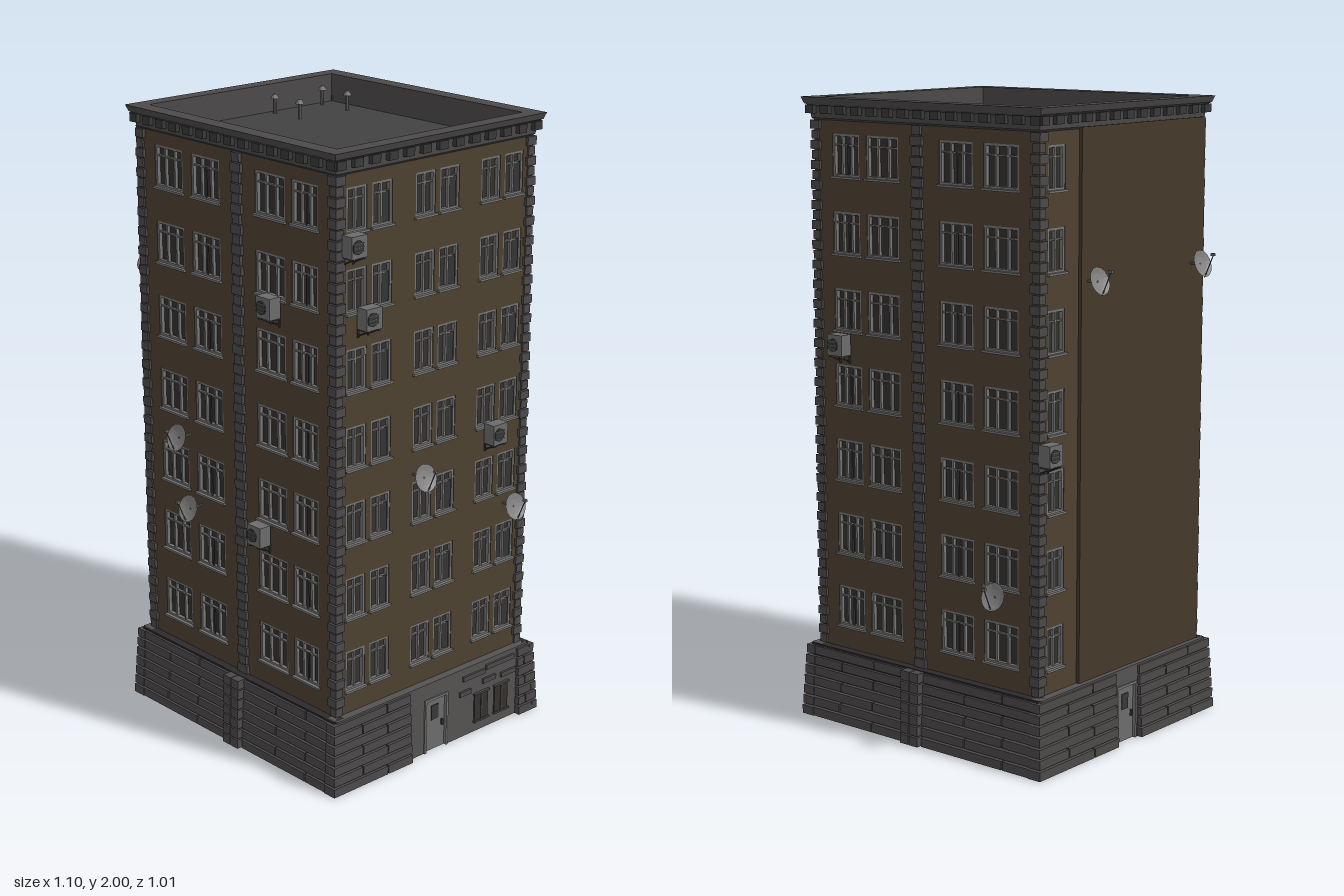
import * as THREE from 'three';
import { mergeGeometries } from 'three/addons/utils/BufferGeometryUtils.js';

const mat = (color, side = THREE.FrontSide) =>
  new THREE.MeshStandardMaterial({ color, side, flatShading: true });
const M = {
  wall: mat(0x4d4130), inner: mat(0x4d4130, THREE.DoubleSide), blank: mat(0x44392a),
  stone: mat(0x4c4949), joint: mat(0x2c2a2a), plaster: mat(0x555252), roof: mat(0x424242),
  frame: mat(0x757575), glass: mat(0x34312d), metal: mat(0x6c6c6c), dark: mat(0x383838),
  dish: mat(0x828282, THREE.DoubleSide),
};
const BASE = 0.24, TOP = 1.935, FLOORS = 7;
const floorY = (i) => 0.38 + i * 0.2405;

const box = (w, h, d, x, y, z) => new THREE.BoxGeometry(w, h, d).translate(x, y, z);
const span = (x0, x1, y0, y1, z0, z1) =>
  box(x1 - x0, y1 - y0, z1 - z0, (x0 + x1) / 2, (y0 + y1) / 2, (z0 + z1) / 2);
function rod(a, b, r) {
  const p = new THREE.Vector3(...a), q = new THREE.Vector3(...b), dir = q.clone().sub(p);
  const g = new THREE.CylinderGeometry(r, r, dir.length(), 6);
  g.applyQuaternion(new THREE.Quaternion().setFromUnitVectors(new THREE.Vector3(0, 1, 0), dir.normalize()));
  return g.translate(...p.add(q).multiplyScalar(0.5).toArray());
}
function add(parent, name, geos, material) {
  if (!geos.length) return;
  const mesh = new THREE.Mesh(mergeGeometries(geos.map((g) => (g.index ? g.toNonIndexed() : g))), material);
  mesh.name = name;
  parent.add(mesh);
}
// Rectangular rings [halfX, halfZ, y] joined into a four-sided band
function ringLoft(rings) {
  const c = [[1, 1], [1, -1], [-1, -1], [-1, 1]], pos = [];
  for (let i = 0; i + 1 < rings.length; i++) {
    for (let k = 0; k < 4; k++) {
      const at = (r, n) => [c[n % 4][0] * r[0], r[2], c[n % 4][1] * r[1]];
      const a = at(rings[i], k), b = at(rings[i], k + 1), d = at(rings[i + 1], k + 1), e = at(rings[i + 1], k);
      pos.push(...a, ...b, ...d, ...a, ...d, ...e);
    }
  }
  const g = new THREE.BufferGeometry();
  g.setAttribute('position', new THREE.Float32BufferAttribute(pos, 3));
  g.computeVertexNormals();
  return g;
}

// Each facade is laid out as if facing +z, then turned. Columns are [from, to].
const wide = [[-0.373, -0.24], [-0.198, -0.066], [0.098, 0.23], [0.26, 0.372]];
const narrow = [[-0.365, -0.286], [-0.265, -0.185], [-0.09, -0.01], [0.01, 0.09], [0.185, 0.265], [0.286, 0.365]];
const FACES = [
  { name: 'frontFacade', turn: 0, d: 0.405, hw: 0.45, cols: wide, pier: 0.019,
    courses: [[-0.497, -0.018], [0.056, 0.497]],
    coolers: [[0.185, 1.49], [0.13, 0.75]], dishes: [[-0.23, 0.98], [-0.18, 0.755]] },
  { name: 'rightFacade', turn: Math.PI / 2, d: 0.45, hw: 0.405, cols: narrow, door: true, yard: true,
    courses: [[-0.456, -0.12], [0.37, 0.456]],
    coolers: [[-0.36, 1.72], [-0.3, 1.495], [0.245, 1.01]], dishes: [[-0.088, 0.955], [0.315, 0.755]] },
  { name: 'backFacade', turn: Math.PI, d: 0.405, hw: 0.45, cols: wide.map(([a, b]) => [-b, -a]), pier: -0.019,
    courses: [[-0.497, -0.056], [0.018, 0.497]], coolers: [[-0.33, 1.23]], dishes: [[0.32, 0.54]] },
  { name: 'leftFacade', turn: -Math.PI / 2, d: 0.45, hw: 0.405, cols: narrow.slice(0, 1), door: true, blankFrom: -0.22,
    courses: [[-0.456, -0.06], [0.06, 0.456]], coolers: [[-0.385, 0.98]], dishes: [[-0.19, 1.48], [0.34, 1.48]] },
];

function addWindows(g, f) {
  const frames = [], glass = [], sills = [], sashes = [], h = 0.133, t = 0.008;
  for (let i = 0; i < FLOORS; i++) f.cols.forEach(([a, b], n) => {
    const y = floorY(i), w = b - a, x = (a + b) / 2, z = f.d - 0.009;
    for (const s of [-1, 1]) {
      frames.push(box(t, h, 0.014, x + s * (w - t) / 2, y, z), box(w, t, 0.014, x, y + s * (h - t) / 2, z));
    }
    const bars = w > 0.1 ? [-w * 0.17, w * 0.17] : [0];
    for (const m of bars) frames.push(box(0.007, h, 0.01, x + m, y, z));
    frames.push(box(w, 0.005, 0.008, x, y + h * 0.24, z));
    glass.push(box(w, h, 0.004, x, y, f.d - 0.016));
    sills.push(box(w + 0.01, 0.007, 0.018, x, y - h / 2 - 0.002, f.d));
    // Every second window has a small sash ajar
    if (n % 2) sashes.push(new THREE.BoxGeometry(0.026, h * 0.7, 0.004).rotateY(-0.5)
      .translate(x + bars[0] + 0.016, y - h * 0.1, f.d - 0.008));
  });
  add(g, 'windowFrames', frames, M.frame);
  add(g, 'windowGlass', glass, M.glass);
  add(g, 'windowSills', sills, M.frame);
  add(g, 'openSashes', sashes, M.dark);
}

function addBase(g, f) {
  const hw = f.hw + 0.02, d = f.d, n = 7, step = BASE / n, blocks = [];
  for (let i = 0; i < n; i++) {
    const out = d + 0.048 - i * 0.002, cut = i * 0.002;
    for (const [a, b] of f.courses) {
      const lo = a < -0.4 ? a + cut : a, hi = b > 0.4 ? b - cut : b;
      // Staggered vertical joints split each course
      const joints = [lo, lo + (hi - lo) * (i % 2 ? 0.36 : 0.68), hi];
      for (let k = 0; k < 2; k++) blocks.push(span(joints[k] + (k ? 0.004 : 0), joints[k + 1],
        i * step, (i + 1) * step - 0.006, d, out));
    }
    if (f.pier !== undefined) for (const s of [-1, 1]) blocks.push(
      box(0.034, step - 0.004, 0.05, f.pier + s * 0.0185, (i + 0.5) * step, d + 0.04 - i * 0.001));
  }
  const backing = [span(-hw, hw, f.door ? 0.18 : 0, BASE, d - 0.015, d + 0.028)];
  if (f.door) for (const s of [-1, 1]) backing.push(span(s < 0 ? -hw : 0.048, s < 0 ? -0.048 : hw, 0, 0.18, d - 0.015, d + 0.028));
  add(g, 'baseWall', backing, f.door ? M.plaster : M.joint);
  add(g, 'baseLiner', [span(-hw, hw, 0, BASE - 0.01, d - 0.02, d - 0.012)], M.plaster);
  if (f.yard) {
    for (const [u, y, w] of [[0.17, 0.205, 0.1], [0.29, 0.215, 0.13], [0.33, 0.165, 0.07], [0.13, 0.155, 0.05], [0.24, 0.17, 0.06]])
      blocks.push(box(w, 0.016, 0.012, u, y, d + 0.029));
    for (const u of [0.205, 0.298]) {
      add(g, 'cellarWindow', [box(0.062, 0.092, 0.01, u, 0.085, d + 0.027)], M.glass);
      add(g, 'cellarWindowFrame', [box(0.07, 0.006, 0.018, u, 0.134, d + 0.028), box(0.07, 0.006, 0.018, u, 0.037, d + 0.028),
        box(0.005, 0.09, 0.014, u, 0.085, d + 0.028)], M.stone);
    }
  }
  add(g, 'baseBlocks', blocks, M.stone);
  if (f.door) {
    add(g, 'door', [box(0.09, 0.178, 0.02, 0, 0.089, d + 0.012)], M.metal);
    add(g, 'doorFrame', [box(0.008, 0.184, 0.03, -0.048, 0.092, d + 0.018), box(0.008, 0.184, 0.03, 0.048, 0.092, d + 0.018),
      box(0.104, 0.008, 0.03, 0, 0.183, d + 0.018)], M.frame);
    add(g, 'doorPanel', [box(0.032, 0.05, 0.004, 0, 0.13, d + 0.023), box(0.006, 0.02, 0.008, 0.032, 0.085, d + 0.025)], M.dark);
  }
}

function airConditioner(u, y, d) {
  const g = new THREE.Group();
  g.name = 'airConditioner';
  add(g, 'casing', [box(0.062, 0.066, 0.042, 0, 0.006, 0.029)], M.metal);
  add(g, 'fan', [new THREE.CylinderGeometry(0.021, 0.021, 0.004, 12).rotateX(Math.PI / 2).translate(-0.007, 0.006, 0.051)], M.dark);
  add(g, 'grille', [-0.012, 0, 0.012].map((k) => box(0.042, 0.002, 0.002, -0.007, 0.006 + k, 0.054)), M.metal);
  add(g, 'brackets', [-0.02, 0.02].flatMap((x) => [box(0.005, 0.006, 0.05, x, -0.03, 0.025),
    rod([x, -0.052, 0], [x, -0.03, 0.045], 0.0025), box(0.005, 0.03, 0.004, x, -0.042, 0.002)]), M.dark);
  g.position.set(u, y, d);
  return g;
}

function satelliteDish(u, y, d) {
  const g = new THREE.Group(), tilt = 0.35;
  g.name = 'satelliteDish';
  const bowl = new THREE.LatheGeometry([[0, 0], [0.024, 0.003], [0.044, 0.01]].map((p) => new THREE.Vector2(...p)), 14);
  add(g, 'bowl', [bowl.rotateX(Math.PI / 2 - tilt).translate(0, 0, 0.048)], M.dish);
  add(g, 'arm', [rod([0, 0, 0], [0, 0, 0.05], 0.004), rod([0, -0.04, 0.065], [0, 0.035, 0.098], 0.002),
    box(0.01, 0.008, 0.012, 0, 0.034, 0.096)], M.metal);
  g.position.set(u, y, d);
  return g;
}

function facade(f) {
  const g = new THREE.Group();
  g.name = f.name;
  // Wall pierced by the window openings
  const shape = new THREE.Shape([[-f.hw, BASE - 0.01], [f.hw, BASE - 0.01], [f.hw, TOP], [-f.hw, TOP]].map((p) => new THREE.Vector2(...p)));
  for (let i = 0; i < FLOORS; i++) for (const [a, b] of f.cols) {
    const y0 = floorY(i) - 0.066, y1 = floorY(i) + 0.066;
    shape.holes.push(new THREE.Path([[a, y0], [a, y1], [b, y1], [b, y0]].map((p) => new THREE.Vector2(...p))));
  }
  add(g, 'wall', [new THREE.ExtrudeGeometry(shape, { depth: 0.018, bevelEnabled: false }).translate(0, 0, f.d - 0.018)], M.wall);
  if (f.blankFrom) add(g, 'blankWall', [span(f.blankFrom, f.hw + 0.004, BASE, TOP, f.d - 0.005, f.d + 0.011)], M.blank);
  addWindows(g, f);
  addBase(g, f);
  // Stone courses up the middle pier
  if (f.pier !== undefined) {
    const pier = [];
    for (let i = 0; i < 54; i++) pier.push(box(i % 2 ? 0.034 : 0.046, 0.028, 0.02, f.pier, BASE + (i + 0.5) * 0.0313, f.d));
    add(g, 'middlePier', pier, M.stone);
  }
  // Small brackets under the cornice
  const count = Math.round(f.hw * 2 / 0.066), dentils = [];
  for (let i = 0; i <= count; i++) dentils.push(box(0.034, 0.026, 0.03, -f.hw + i * 2 * f.hw / count, 1.962, f.d + 0.008));
  add(g, 'corniceBrackets', dentils, M.dark);
  for (const [u, y] of f.coolers) g.add(airConditioner(u, y, f.d));
  for (const [u, y] of f.dishes) g.add(satelliteDish(u, y, f.d));
  g.rotation.y = f.turn;
  return g;
}

export function createModel() {
  const model = new THREE.Group();
  model.name = 'apartmentBlock';
  for (const f of FACES) model.add(facade(f));

  // Alternating corner stones
  const quoins = [];
  for (const sx of [-1, 1]) for (const sz of [-1, 1]) for (let i = 0; i < 54; i++) {
    const a = i % 2 ? 0.038 : 0.028, out = i % 2 ? 0.009 : 0.006;
    quoins.push(box(a, 0.027, a, sx * (0.45 + out - a / 2), BASE + (i + 0.5) * 0.0313, sz * (0.405 + out - a / 2)));
  }
  add(model, 'cornerStones', quoins, M.stone);

  // Flared cornice, parapet and sunken roof
  add(model, 'cornice', [ringLoft([[0.446, 0.4, 1.925], [0.456, 0.411, 1.935], [0.459, 0.414, 1.972], [0.472, 0.427, 1.98],
    [0.479, 0.435, 2], [0.427, 0.38, 2], [0.427, 0.38, 1.905]])], M.stone);
  add(model, 'roof', [box(0.86, 0.02, 0.77, 0, 1.9, 0)], M.roof);
  add(model, 'innerWalls', [ringLoft([[0.43, 0.385, BASE], [0.43, 0.385, 1.895]])], M.inner);

  // Roof vents
  for (const x of [-0.398, -0.278]) for (const z of [-0.312, -0.106]) add(model, 'roofVent', [
    new THREE.CylinderGeometry(0.006, 0.006, 0.05, 8).translate(x, 1.935, z),
    new THREE.CylinderGeometry(0.005, 0.015, 0.014, 10).translate(x, 1.966, z)], M.metal);
  return model;
}
